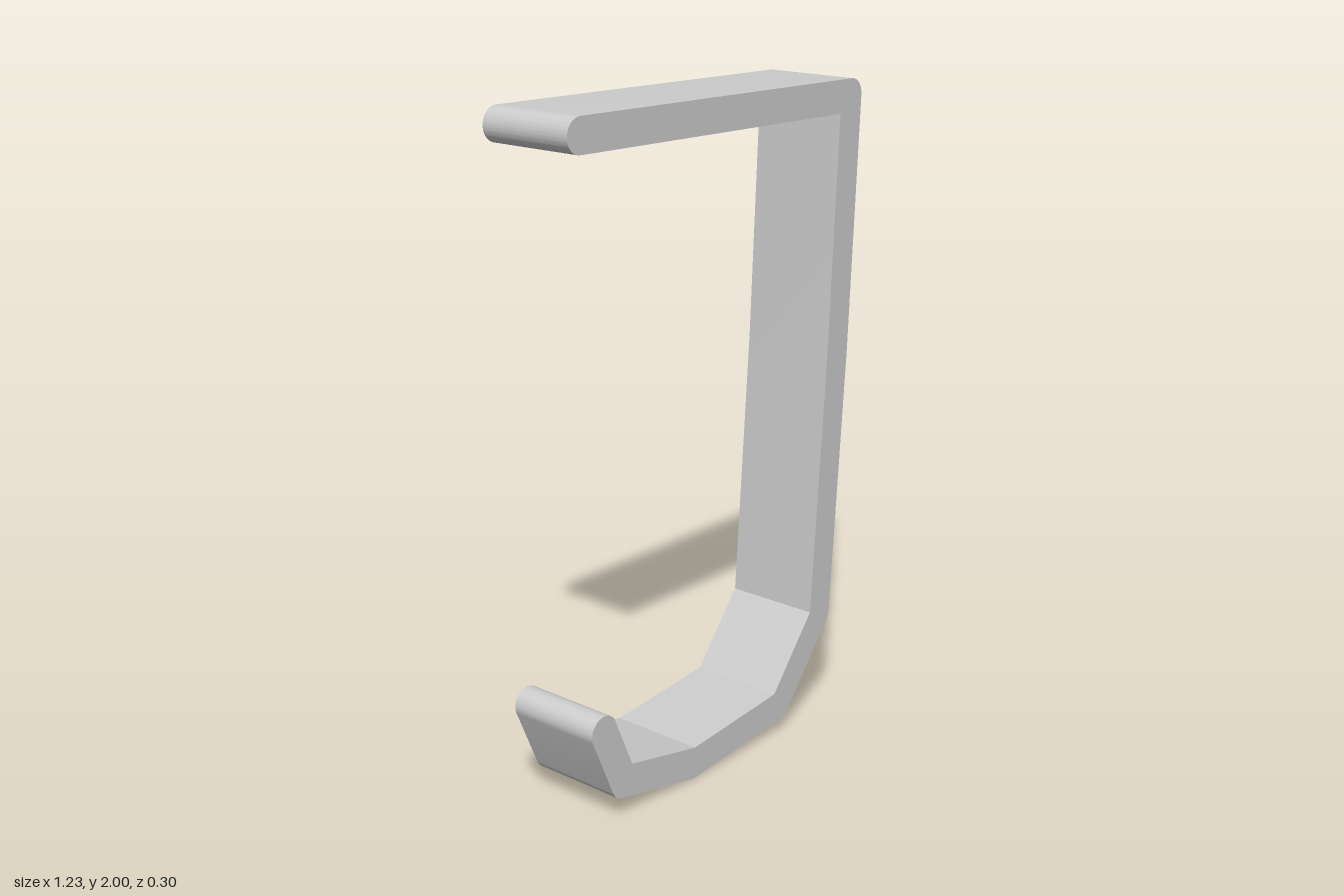
import * as THREE from 'three';
import { toCreasedNormals } from 'three/addons/utils/BufferGeometryUtils.js';

const RADIUS = 0.049; // half the strip thickness
const DEPTH = 0.3;
const STEP = Math.PI / 32; // angle between points on rounded ends and corners

// Centre line, from the free end of the top arm round to the hook tip.
// Every bend turns clockwise.
const PATH = [
  [-0.569, 1.953], [0.568, 1.932], [0.529, 1.17], [0.468, 0.335],
  [0.272, 0.091], [-0.13, 0.051], [-0.435, 0.112], [-0.513, 0.294],
].map(([x, y]) => new THREE.Vector2(x, y));

// Outline of the bent strip: rounded outside corners, mitred inside corners, round ends
function stripOutline(path, r) {
  const points = [];
  const heading = path.slice(1).map((p, i) => Math.atan2(p.y - path[i].y, p.x - path[i].x));
  const last = path.length - 1;
  const arc = (centre, start, sweep) => {
    const n = Math.max(1, Math.ceil(sweep / STEP - 1e-6));
    for (let i = 0; i <= n; i++) {
      const a = start - (sweep * i) / n;
      points.push(new THREE.Vector2(centre.x + r * Math.cos(a), centre.y + r * Math.sin(a)));
    }
  };
  const turn = (i) => THREE.MathUtils.euclideanModulo(heading[i - 1] - heading[i], Math.PI * 2);

  // outer side
  for (let i = 1; i < last; i++) arc(path[i], heading[i - 1] + Math.PI / 2, turn(i));
  // hook tip
  arc(path[last], heading[last - 1] + Math.PI / 2, Math.PI);
  // inner side
  for (let i = last - 1; i > 0; i--) {
    const a = heading[i - 1] - turn(i) / 2 - Math.PI / 2;
    const d = r / Math.cos(turn(i) / 2);
    points.push(new THREE.Vector2(path[i].x + d * Math.cos(a), path[i].y + d * Math.sin(a)));
  }
  // free end of the top arm
  arc(path[0], heading[0] - Math.PI / 2, Math.PI);
  return points;
}

export function createModel() {
  const group = new THREE.Group();
  group.name = 'overDoorHook';

  const geometry = new THREE.ExtrudeGeometry(new THREE.Shape(stripOutline(PATH, RADIUS)), {
    depth: DEPTH,
    bevelEnabled: false,
  });
  geometry.translate(0, 0, -DEPTH / 2);

  const strip = new THREE.Mesh(
    toCreasedNormals(geometry, STEP * 1.2),
    new THREE.MeshStandardMaterial({ color: 0xcccccc }),
  );
  strip.name = 'bentHookStrip';
  group.add(strip);
  return group;
}
